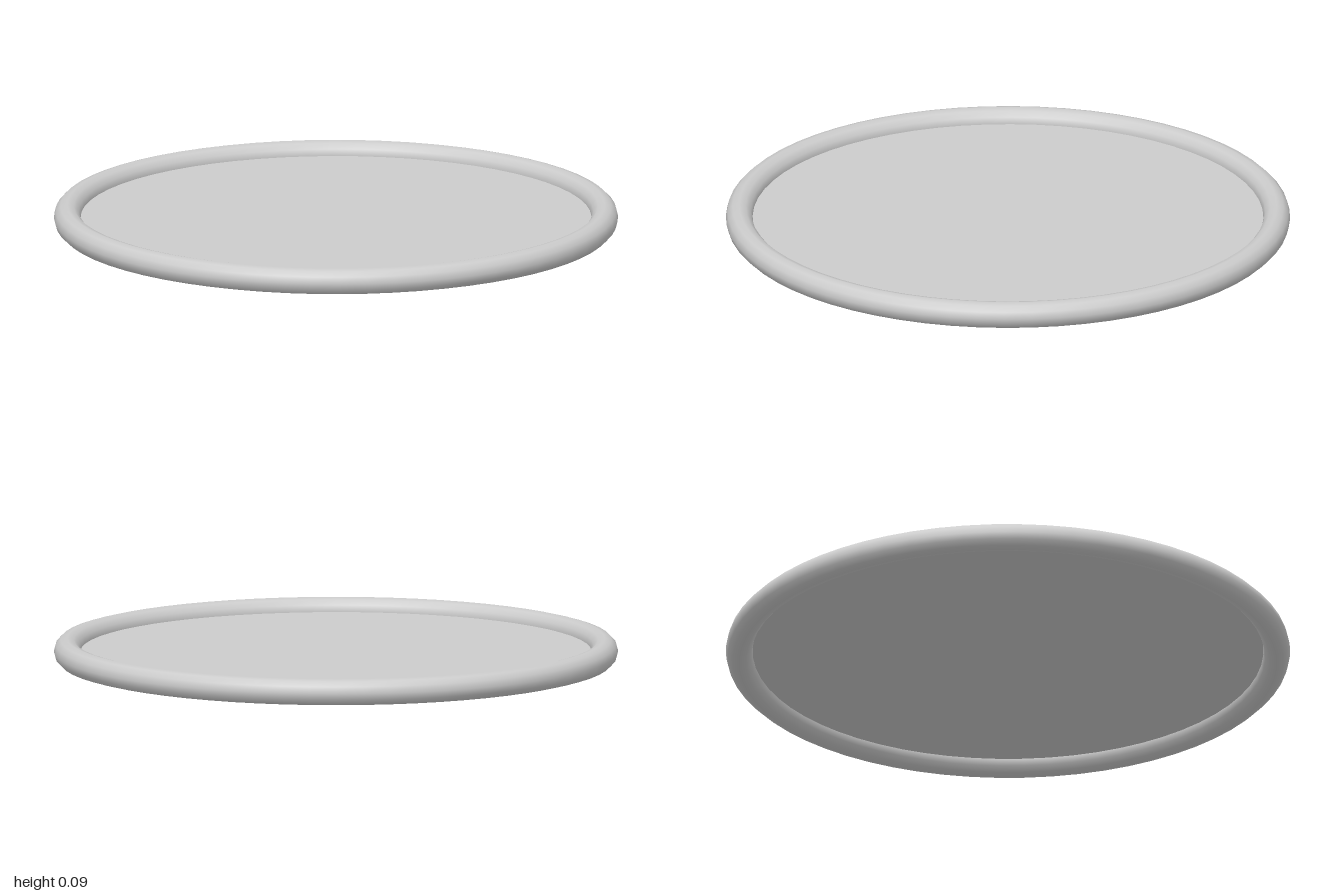
import * as THREE from 'three';

export function createModel() {
  const group = new THREE.Group();
  const tube = 0.0475;
  const ringRadius = 1 - tube;

  // Rounded outer rim lying flat
  const rim = new THREE.Mesh(
    new THREE.TorusGeometry(ringRadius, tube, 12, 64).rotateX(-Math.PI / 2),
    new THREE.MeshStandardMaterial({ color: 0xcccccc })
  );
  rim.name = 'rim';
  rim.position.y = tube;
  group.add(rim);

  // Thin sheet stretched across the middle of the rim
  const panel = new THREE.Mesh(
    new THREE.CircleGeometry(ringRadius, 64).rotateX(-Math.PI / 2),
    new THREE.MeshStandardMaterial({ color: 0xcccccc, side: THREE.DoubleSide })
  );
  panel.name = 'panel';
  panel.position.y = tube;
  group.add(panel);

  return group;
}
